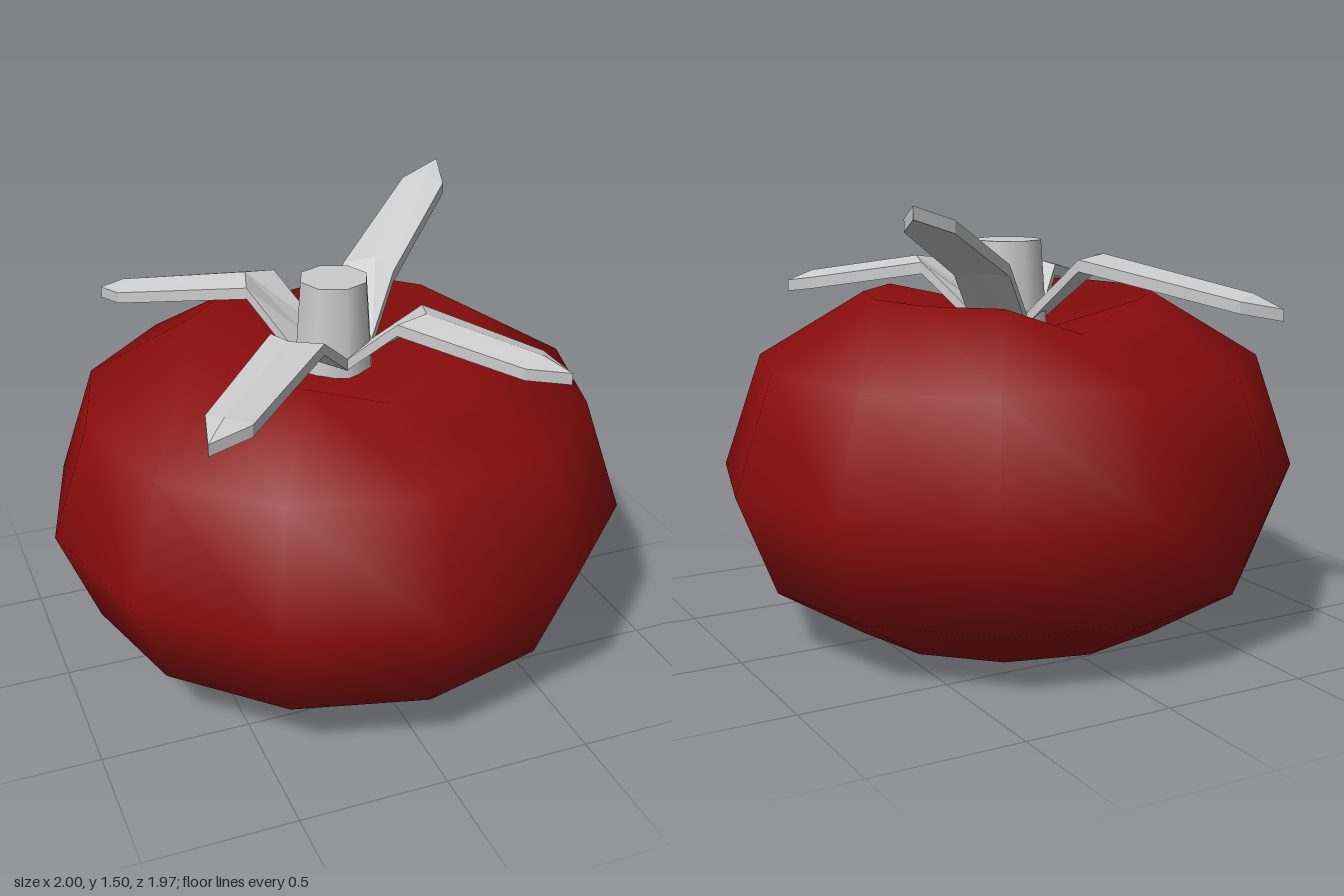
import * as THREE from 'three';
import { mergeVertices } from 'three/addons/utils/BufferGeometryUtils.js';

// Squat twelve-sided fruit with a hollow under the stem
function fruitGeometry() {
  const profile = [[0, 0.005], [0.45, 0.005], [0.56, 0.03], [0.866, 0.22], [1, 0.56], [0.866, 0.95], [0.5, 1.17], [0, 1.0]]
    .map(([r, y]) => new THREE.Vector2(r, y));
  const lathe = new THREE.LatheGeometry(profile, 12);
  lathe.deleteAttribute('normal');
  lathe.deleteAttribute('uv');
  const p = lathe.attributes.position;
  for (let i = 0; i < p.count; i++) {
    // the rim sags at the front and back
    if (p.getY(i) > 1.1 && Math.abs(p.getX(i)) < 0.01) p.setY(i, p.getZ(i) > 0 ? 1.11 : 1.08);
    p.setZ(i, p.getZ(i) * 0.983);
  }
  const geo = mergeVertices(lathe, 1e-4);
  geo.computeVertexNormals();
  return geo;
}

// Ridged, bent leaf running along +x and ending in a point
function leafGeometry(kinkY, tipX, tipY) {
  const shoulderX = tipX - 0.13;
  const slope = (tipY - kinkY) / (tipX - 0.28);
  // edge x, ridge x, top y, half width, ridge rise
  const stations = [
    [0.1, 0.1, 1.11, 0.098, 0.01],
    [0.28, 0.34, kinkY, 0.096, 0.015],
    [shoulderX, shoulderX + 0.03, kinkY + slope * (shoulderX - 0.28), 0.08, 0.02],
    [tipX, tipX, tipY, 0, 0],
  ];
  const thick = 0.04;
  const positions = [], index = [];
  stations.forEach(([x, mx, y, w, rise]) => positions.push(
    mx, y + rise, 0, x, y, w, x, y - thick, w,
    mx, y + rise - thick, 0, x, y - thick, -w, x, y, -w));
  for (let s = 0; s < stations.length - 1; s++) {
    for (let j = 0; j < 6; j++) {
      const a = s * 6 + j, b = s * 6 + (j + 1) % 6;
      index.push(a, b, a + 6, b, b + 6, a + 6);
    }
  }
  for (let k = 1; k < 5; k++) index.push(0, k + 1, k);
  const geo = new THREE.BufferGeometry();
  geo.setAttribute('position', new THREE.Float32BufferAttribute(positions, 3));
  geo.setIndex(index);
  geo.computeVertexNormals();
  return geo;
}

export function createModel() {
  const model = new THREE.Group();
  const red = new THREE.MeshStandardMaterial({ color: 0x8a0c0c });
  const grey = new THREE.MeshStandardMaterial({ color: 0xcccccc });
  const greyFlat = new THREE.MeshStandardMaterial({ color: 0xcccccc, flatShading: true });
  const add = (name, geometry, material) => {
    const mesh = new THREE.Mesh(geometry, material);
    mesh.name = name;
    model.add(mesh);
    return mesh;
  };

  add('fruit', fruitGeometry(), red);

  // Tapered stem
  add('stem', new THREE.CylinderGeometry(0.118, 0.14, 0.31, 8), grey).position.y = 1.195;

  // Four leaves: tip x, tip z, bend height, tip height
  const leaves = {
    backLeftLeaf: [0.65, -0.61, 1.29, 1.51],
    frontLeftLeaf: [0.56, 0.635, 1.27, 1.18],
    frontRightLeaf: [-0.63, 0.615, 1.24, 1.145],
    backRightLeaf: [-0.635, -0.705, 1.295, 1.145],
  };
  for (const [name, [x, z, kinkY, tipY]] of Object.entries(leaves)) {
    const leaf = add(name, leafGeometry(kinkY, Math.hypot(x, z), tipY), greyFlat);
    leaf.rotation.y = Math.atan2(-z, x);
  }
  return model;
}
